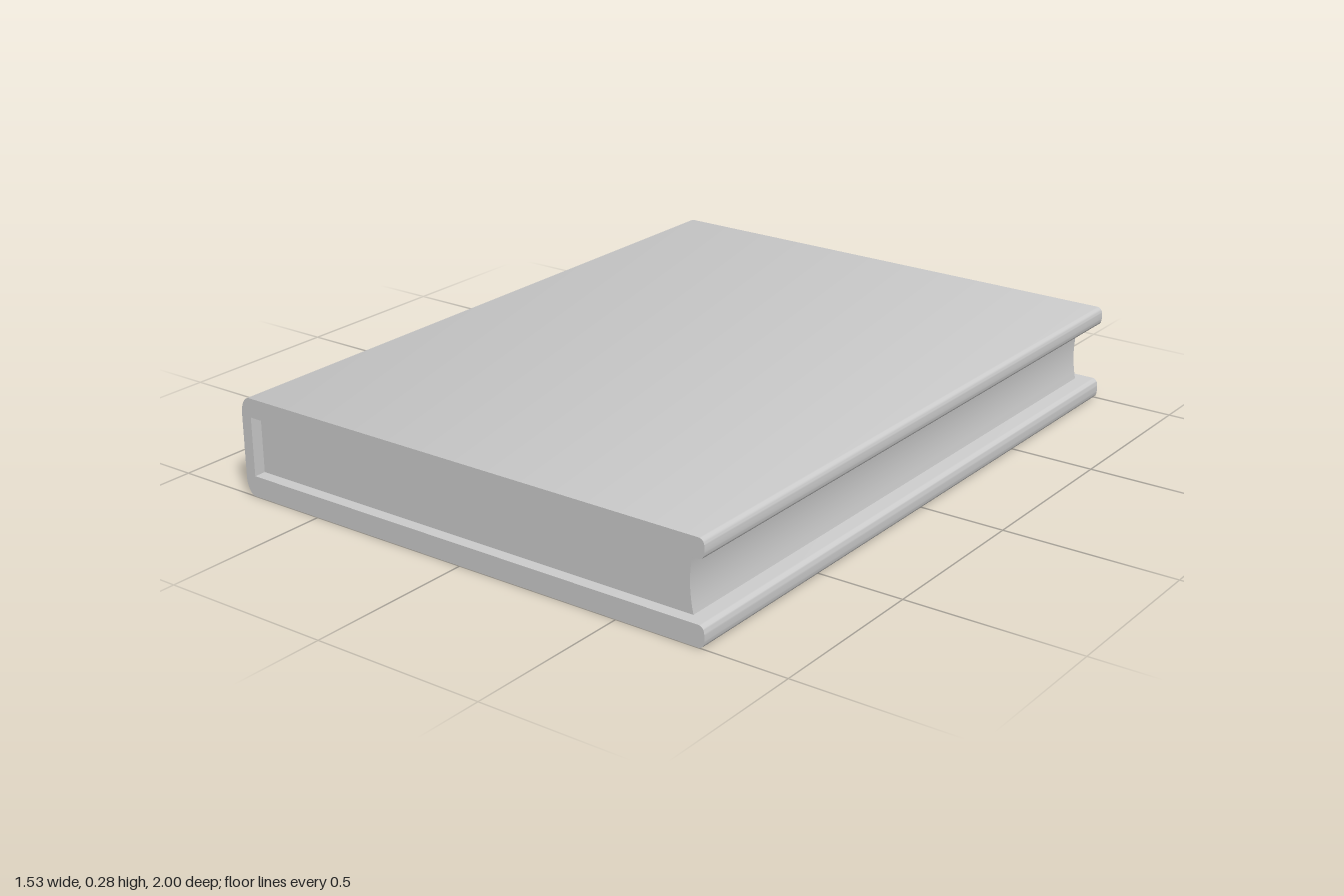
import * as THREE from 'three';
import { toCreasedNormals } from 'three/addons/utils/BufferGeometryUtils.js';

const HEIGHT = 0.285;            // overall thickness of the closed book
const INNER_LOW = 0.06, INNER_HIGH = 0.23;
const EDGE = 0.763;              // half width of the cover
const SPINE_INNER = -0.73;

// Extrude a profile along z, centred, with crisp edges and smooth curves
function extrudeCentred(shape, length, name, material) {
  const geometry = new THREE.ExtrudeGeometry(shape, { depth: length, bevelEnabled: false, curveSegments: 8 });
  geometry.translate(0, 0, -length / 2);
  const mesh = new THREE.Mesh(toCreasedNormals(geometry, Math.PI / 5), material);
  mesh.name = name;
  return mesh;
}

// C-shaped case: two boards joined by a spine with rounded corners
function coverShape() {
  const s = new THREE.Shape();
  s.moveTo(-EDGE + 0.03, 0);
  s.lineTo(EDGE - 0.016, 0);
  s.quadraticCurveTo(EDGE, 0.002, EDGE, 0.022);
  s.lineTo(EDGE, 0.036);
  s.quadraticCurveTo(EDGE, 0.058, EDGE - 0.016, INNER_LOW);
  s.lineTo(SPINE_INNER, INNER_LOW);
  s.lineTo(SPINE_INNER, INNER_HIGH);
  s.lineTo(EDGE - 0.016, INNER_HIGH);
  s.quadraticCurveTo(EDGE, INNER_HIGH + 0.002, EDGE, INNER_HIGH + 0.022);
  s.lineTo(EDGE, HEIGHT - 0.022);
  s.quadraticCurveTo(EDGE, HEIGHT - 0.002, EDGE - 0.016, HEIGHT);
  s.lineTo(-EDGE + 0.03, HEIGHT);
  s.bezierCurveTo(-EDGE + 0.012, HEIGHT, -EDGE, HEIGHT - 0.025, -EDGE, HEIGHT - 0.05);
  s.lineTo(-EDGE, 0.05);
  s.bezierCurveTo(-EDGE, 0.025, -EDGE + 0.012, 0, -EDGE + 0.03, 0);
  return s;
}

// Page block with a hollowed fore edge
function pagesShape() {
  const s = new THREE.Shape();
  s.moveTo(SPINE_INNER, INNER_LOW);
  s.lineTo(0.706, INNER_LOW);
  s.quadraticCurveTo(0.686, (INNER_LOW + INNER_HIGH) / 2, 0.706, INNER_HIGH);
  s.lineTo(SPINE_INNER, INNER_HIGH);
  s.closePath();
  return s;
}

export function createModel() {
  const material = new THREE.MeshStandardMaterial({ color: 0xcccccc });
  const book = new THREE.Group();
  book.name = 'book';
  book.add(extrudeCentred(coverShape(), 2, 'cover', material));
  book.add(extrudeCentred(pagesShape(), 1.93, 'pages', material));
  return book;
}
